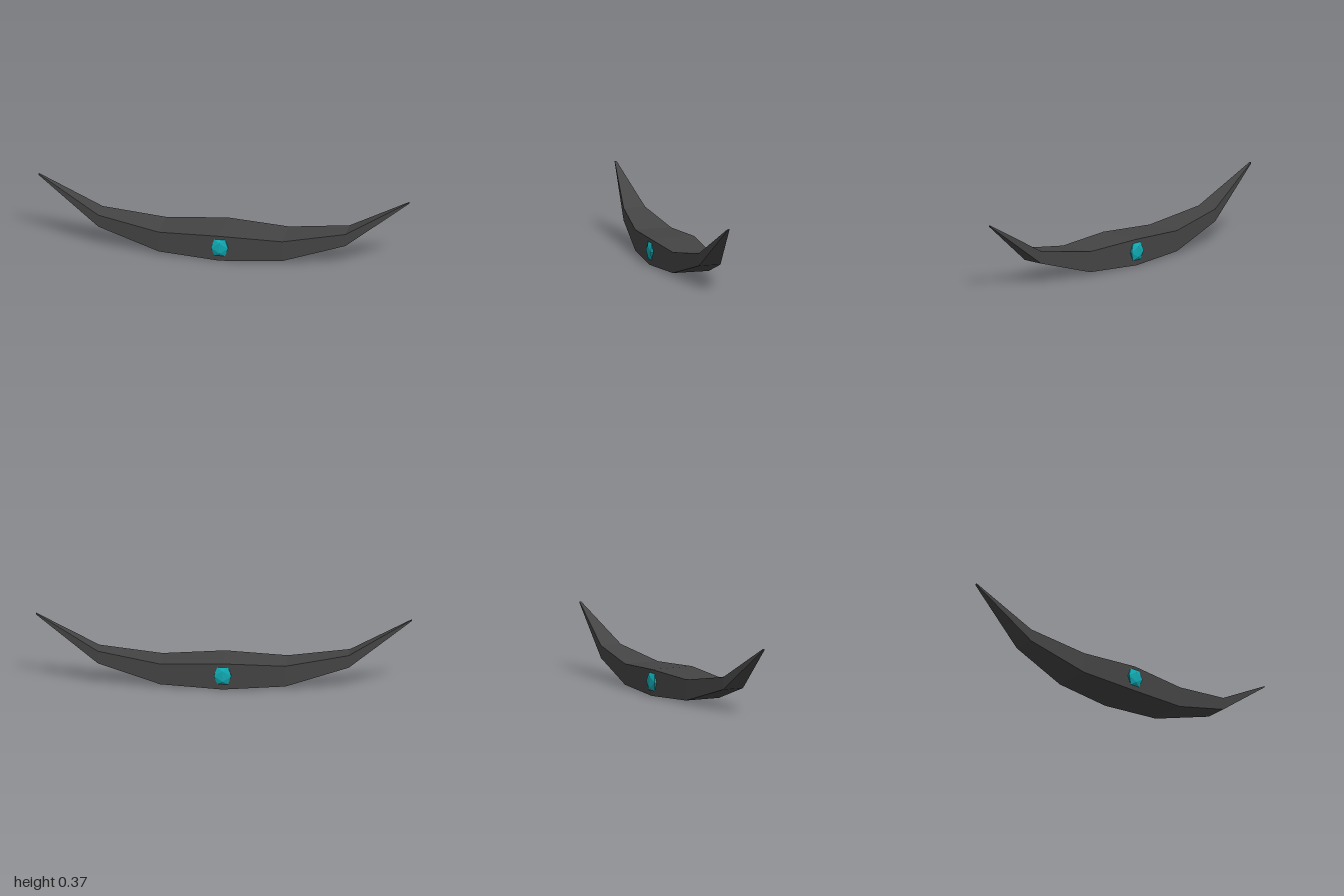
import * as THREE from 'three';

const mat = (name, color) => {
  const m = new THREE.MeshStandardMaterial({ color });
  m.name = name;
  m.flatShading = true;
  return m;
};

// Body lofted through rectangular sections: [x, bottom, top, half depth]
function loft(sections) {
  const pos = [];
  const corners = sections.map(([x, b, t, d]) => [[x, b, d], [x, b, -d], [x, t, -d], [x, t, d]]);
  const quad = (a, b, c, d) => pos.push(...a, ...b, ...c, ...a, ...c, ...d);
  for (let i = 0; i < corners.length - 1; i++) {
    const p = corners[i], q = corners[i + 1];
    for (let k = 0; k < 4; k++) {
      const n = (k + 1) % 4;
      quad(p[k], p[n], q[n], q[k]);
    }
  }
  // Small end caps
  const s = corners[0], e = corners[corners.length - 1];
  quad(s[3], s[2], s[1], s[0]);
  quad(e[0], e[1], e[2], e[3]);
  const g = new THREE.BufferGeometry();
  g.setAttribute('position', new THREE.Float32BufferAttribute(pos, 3));
  g.computeVertexNormals();
  return g;
}

export function createModel() {
  const group = new THREE.Group();
  group.name = 'curvedBlade';
  const dark = mat('dark grey', 0x444444);
  const teal = mat('teal', 0x11aab3);

  // Crescent body, mirrored about the middle section
  const half = [[0.333, 0.016, 0.128, 0.1], [0.667, 0.114, 0.181, 0.06], [1, 0.363, 0.37, 0.005]];
  const left = half.map(([x, ...r]) => [-x, ...r]).reverse();
  const body = new THREE.Mesh(loft([...left, [0, 0, 0.142, 0.123], ...half]), dark);
  body.name = 'crescentBody';
  group.add(body);

  // Flattened faceted gems on front and back
  for (const side of [1, -1]) {
    const gem = new THREE.Mesh(new THREE.IcosahedronGeometry(0.055, 0), teal);
    gem.name = side > 0 ? 'frontGem' : 'backGem';
    gem.scale.z = 0.28;
    gem.position.set(0, 0.076, side * 0.123);
    group.add(gem);
  }
  return group;
}
